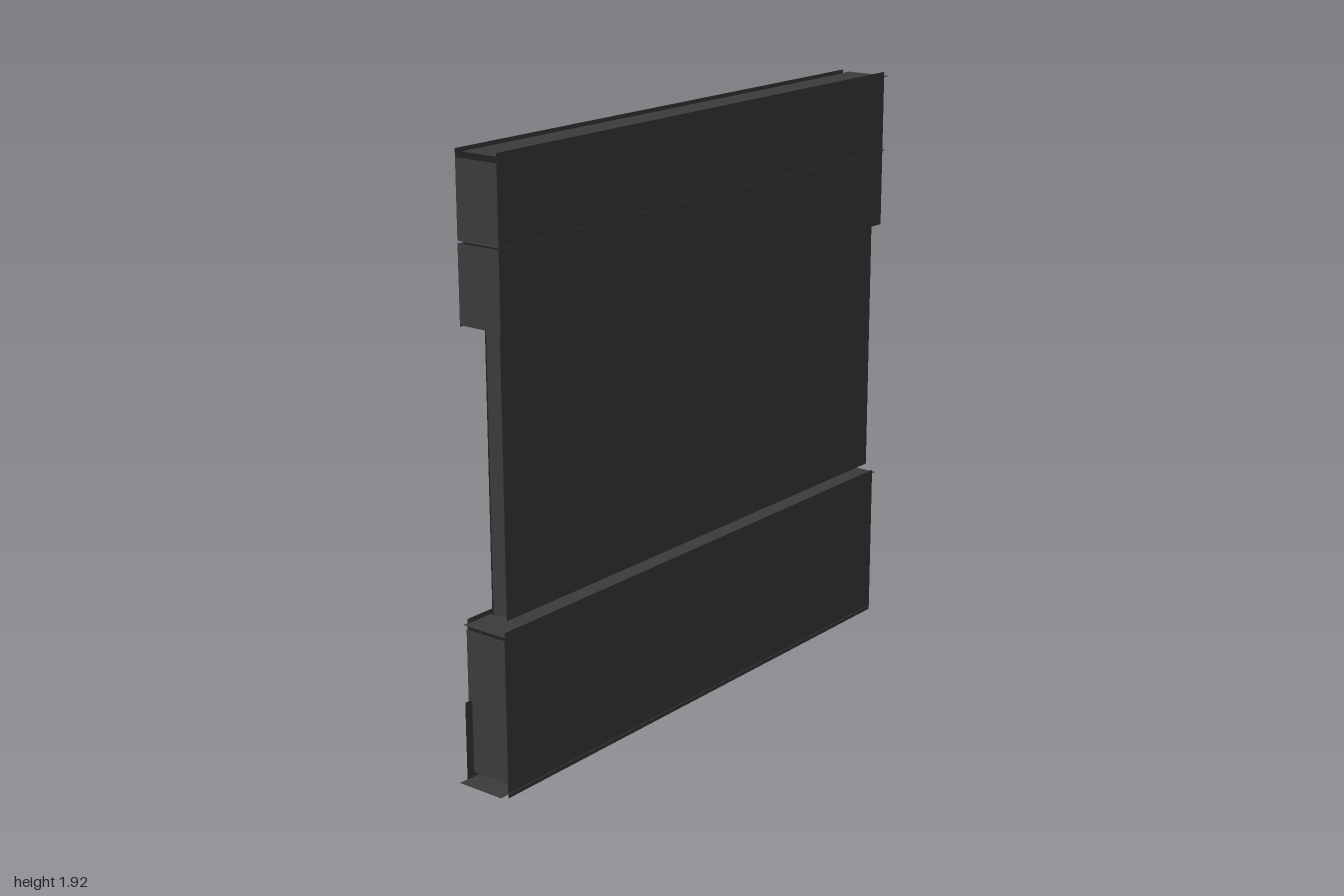
import * as THREE from 'three';

export function createModel() {
  const model = new THREE.Group();
  const mat = new THREE.MeshStandardMaterial({ color: 0x3b3b3b, side: THREE.DoubleSide });
  mat.name = 'charcoal';

  function sheet(name, w, h, pos, rot, parent) {
    const m = new THREE.Mesh(new THREE.PlaneGeometry(w, h), mat);
    m.name = name;
    m.position.set(...pos);
    m.rotation.set(...rot);
    parent.add(m);
  }
  // Sheet facing front (+1) or back (-1)
  const wall = (g, name, x0, x1, y0, y1, z, dir) =>
    sheet(name, x1 - x0, y1 - y0, [(x0 + x1) / 2, (y0 + y1) / 2, z], [0, dir > 0 ? 0 : Math.PI, 0], g);
  // Sheet facing sideways
  const end = (g, name, x, y0, y1, z0, z1) =>
    sheet(name, z1 - z0, y1 - y0, [x, (y0 + y1) / 2, (z0 + z1) / 2], [0, Math.sign(x) * Math.PI / 2, 0], g);
  // Sheet facing up (+1) or down (-1)
  const cap = (g, name, x0, x1, y, z0, z1, dir) =>
    sheet(name, x1 - x0, z1 - z0, [(x0 + x1) / 2, y, (z0 + z1) / 2], [-dir * Math.PI / 2, 0, 0], g);

  const section = (name) => {
    const g = new THREE.Group();
    g.name = name;
    model.add(g);
    return g;
  };

  // Upper beam: two stacked courses of loose sheets
  const upper = section('upperBeam');
  for (const [y0, y1, e0, e1] of [[1.41, 1.66, 1.42, 1.658], [1.66, 1.93, 1.667, 1.9]]) {
    wall(upper, 'upperFront', -0.95, 0.965, y0, y1, 0.08, 1);
    wall(upper, 'upperBack', -0.945, 0.955, y0 + 0.005, y1 - 0.005, -0.08, -1);
    end(upper, 'upperLeftEnd', 0.935, e0, e1, -0.08, 0.08);
    end(upper, 'upperRightEnd', -0.945, e0, e1, -0.08, 0.08);
  }
  cap(upper, 'upperTop', -0.92, 1, 1.912, -0.085, 0.078, 1);
  cap(upper, 'upperDivider', -0.945, 0.985, 1.663, -0.083, 0.082, 1);
  cap(upper, 'upperUnderside', -0.945, 0.955, 1.42, -0.08, 0.078, -1);

  // Thin panel between the beams, running up inside the upper one
  const panel = section('middlePanel');
  wall(panel, 'panelFront', -0.91, 0.97, 0.54, 1.565, 0.04, 1);
  wall(panel, 'panelBack', -0.91, 0.965, 0.545, 1.56, -0.017, -1);
  end(panel, 'panelLeftEnd', 0.94, 0.55, 1.55, -0.017, 0.04);
  end(panel, 'panelRightEnd', -0.905, 0.55, 1.55, -0.017, 0.04);
  cap(panel, 'panelTop', -0.9, 0.965, 1.555, -0.017, 0.04, 1);
  cap(panel, 'panelBottom', -0.9, 0.965, 0.547, -0.017, 0.04, -1);

  // Lower beam: single front sheet, two courses behind
  const lower = section('lowerBeam');
  wall(lower, 'lowerFront', -0.965, 0.95, 0.005, 0.53, 0.08, 1);
  wall(lower, 'lowerBackUpper', -0.95, 0.955, 0.275, 0.53, -0.08, -1);
  wall(lower, 'lowerBackLower', -0.97, 0.945, 0.015, 0.27, -0.08, -1);
  end(lower, 'lowerLeftEndUpper', 0.93, 0.273, 0.5, -0.08, 0.08);
  end(lower, 'lowerLeftEndLower', 0.945, 0.035, 0.268, -0.08, 0.08);
  end(lower, 'lowerRightEndUpper', -0.955, 0.273, 0.5, -0.08, 0.08);
  end(lower, 'lowerRightEndLower', -0.94, 0.035, 0.268, -0.08, 0.08);
  cap(lower, 'lowerTop', -0.965, 0.975, 0.515, -0.083, 0.078, 1);
  cap(lower, 'lowerUnderside', -1, 0.94, 0.02, -0.083, 0.083, -1);

  return model;
}
